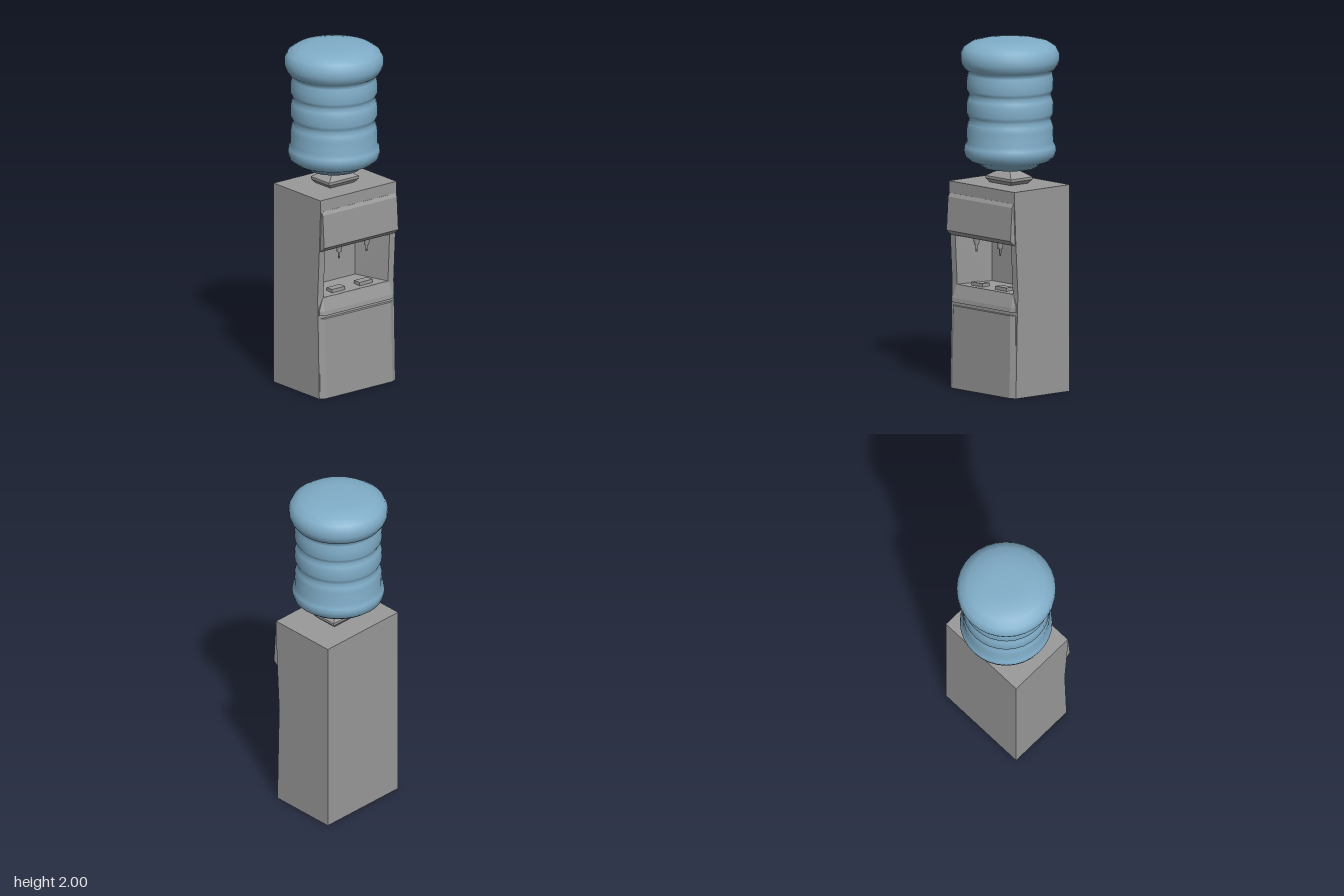
import * as THREE from 'three';
import { ConvexGeometry } from 'three/addons/geometries/ConvexGeometry.js';

const grey = new THREE.MeshStandardMaterial({ color: 0x999999 });
grey.name = 'grey plastic';
const blue = new THREE.MeshStandardMaterial({ color: 0x80adc8 });
blue.name = 'blue bottle';

function part(name, geometry, material, parent) {
  const mesh = new THREE.Mesh(geometry, material);
  mesh.name = name;
  parent.add(mesh);
  return mesh;
}

// Convex solid from rows of [x, y, halfWidth], mirrored across z
function slab(rows) {
  return new ConvexGeometry(rows.flatMap(([x, y, w]) => [
    new THREE.Vector3(x, y, w), new THREE.Vector3(x, y, -w),
  ]));
}

const HALF = 0.277;

export function createModel() {
  const model = new THREE.Group();
  model.name = 'waterCooler';
  const cabinet = new THREE.Group();
  cabinet.name = 'cabinet';
  cabinet.position.z = -0.002;
  model.add(cabinet);

  // Cabinet body: side profile with the niche cut out of the front
  const profile = new THREE.Shape([
    [-0.2, 0], [0.205, 0], [0.194, 0.47], [0.19, 0.59], [0, 0.6],
    [0, 0.825], [0.205, 0.87], [0.215, 1.1], [0.215, 1.178], [-0.2, 1.178],
  ].map(([x, y]) => new THREE.Vector2(x, y)));
  const body = new THREE.ExtrudeGeometry(profile, { depth: HALF * 2, bevelEnabled: false });
  body.translate(0, 0, -HALF);
  part('body', body, grey, cabinet);

  // Niche side walls, thicker toward the back
  for (const s of [1, -1]) {
    const corners = [
      [0, 0.6, HALF], [0, 0.825, HALF], [0.19, 0.59, HALF], [0.205, 0.87, HALF],
      [0, 0.6, 0.153], [0, 0.825, 0.153], [0.19, 0.59, 0.235], [0.205, 0.87, 0.235],
    ].map(([x, y, z]) => new THREE.Vector3(x, y, z * s));
    part('nicheWall', new ConvexGeometry(corners), grey, cabinet);
  }

  // Lower door with chamfered upright edges
  part('door', slab([
    [0.19, 0, 0.274], [0.205, 0, 0.274], [0.222, 0, 0.242],
    [0.18, 0.47, 0.264], [0.197, 0.47, 0.264], [0.213, 0.47, 0.238],
  ]), grey, cabinet);

  // Sloping lip below the niche
  part('lip', slab([
    [0.18, 0.49, 0.272], [0.2, 0.49, 0.272], [0.217, 0.49, 0.245],
    [0.18, 0.52, 0.272], [0.2, 0.52, 0.272], [0.214, 0.515, 0.245],
    [0.18, 0.588, 0.24], [0.191, 0.588, 0.24],
  ]), grey, cabinet);

  // Upper front panel
  part('upperPanel', slab([
    [0.19, 0.872, 0.27], [0.207, 0.872, 0.27], [0.24, 0.9, 0.27],
    [0.228, 1.09, 0.27], [0.216, 1.11, 0.27], [0.19, 1.11, 0.27],
  ]), grey, cabinet);

  // Taps and the drip pads below them
  for (const z of [0.1, -0.1]) {
    const tap = part('tap', new THREE.CylinderGeometry(0.018, 0.014, 0.035, 8), grey, cabinet);
    tap.position.set(0.165, 0.847, z);
    const spout = part('spout', new THREE.CylinderGeometry(0.007, 0.005, 0.045, 8), grey, cabinet);
    spout.position.set(0.165, 0.812, z);
    const pad = part('dripPad', new THREE.BoxGeometry(0.05, 0.02, 0.095), grey, cabinet);
    pad.position.set(0.136, 0.602, z);
  }

  // Four-sided collar under the bottle
  const collarRows = [[0.78, 1.175], [1, 1.2], [1, 1.215], [0.65, 1.238], [0.42, 1.25], [0.42, 1.275]];
  const collarProfile = collarRows.map(([r, y]) => new THREE.Vector2(r * Math.SQRT2, y));
  const collar = new THREE.LatheGeometry(collarProfile, 4, Math.PI / 4).toNonIndexed();
  collar.scale(0.081, 1, 0.108);
  collar.computeVertexNormals();
  part('collar', collar, grey, model).position.x = 0.008;

  // Ribbed bottle
  const bottleProfile = [
    [0, 1.265], [0.148, 1.265], [0.18, 1.29], [0.225, 1.308], [0.252, 1.33], [0.261, 1.365],
    [0.257, 1.39], [0.245, 1.412], [0.246, 1.49], [0.238, 1.52], [0.23, 1.543], [0.238, 1.562],
    [0.246, 1.58], [0.246, 1.635], [0.238, 1.66], [0.23, 1.682], [0.238, 1.7], [0.246, 1.715],
    [0.246, 1.765], [0.239, 1.8], [0.237, 1.818], [0.255, 1.83], [0.272, 1.855], [0.279, 1.88],
    [0.279, 1.915], [0.262, 1.95], [0.22, 1.978], [0.16, 1.992], [0.1, 2], [0, 2],
  ].map(([r, y]) => new THREE.Vector2(r, y));
  part('bottle', new THREE.LatheGeometry(bottleProfile, 32), blue, model);

  return model;
}
